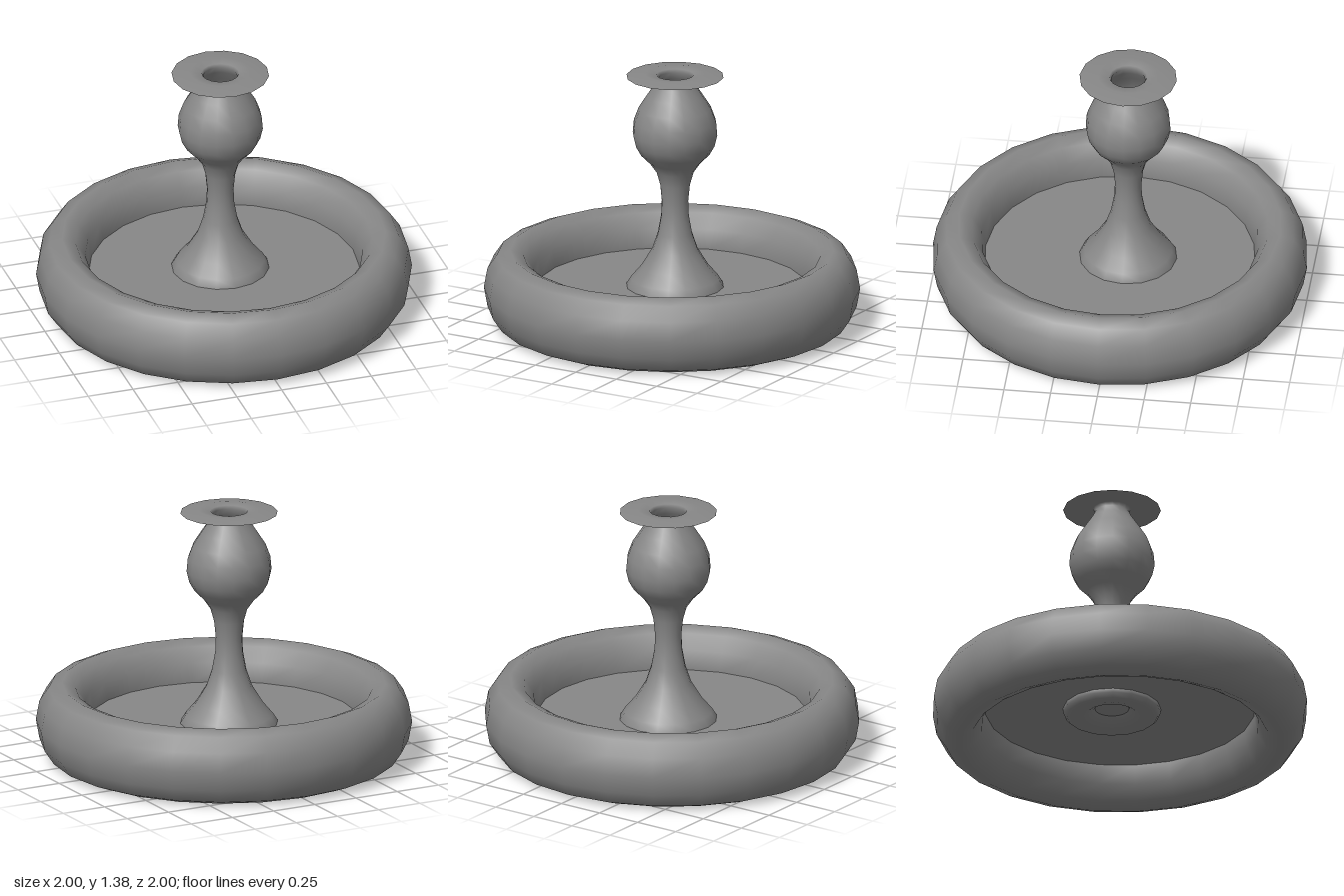
import * as THREE from 'three';

const material = new THREE.MeshStandardMaterial({ color: 0x878787, side: THREE.DoubleSide });

function addPart(group, name, geometry, x = 0, y = 0, z = 0) {
  const mesh = new THREE.Mesh(geometry, material);
  mesh.name = name;
  mesh.position.set(x, y, z);
  group.add(mesh);
}

export function createModel() {
  const group = new THREE.Group();
  group.name = 'fountain';
  const midY = 0.207;

  // Rounded basin rim: a torus stretched upright
  const rim = new THREE.TorusGeometry(0.86, 0.14, 12, 24);
  rim.rotateX(Math.PI / 2);
  rim.scale(1, midY / 0.14, 1);
  addPart(group, 'basinRim', rim, 0, midY, 0);

  // Thin basin floor across the inside of the rim
  const floor = new THREE.CircleGeometry(0.725, 24);
  floor.rotateX(-Math.PI / 2);
  addPart(group, 'basinFloor', floor, 0, midY, 0);

  // Hollow stem: foot curling under the floor, flared base, slim neck, bulb, open mouth and flat lip
  const profile = [
    [0.085, 0.215], [0.1, 0.195], [0.14, 0.168], [0.195, 0.155], [0.24, 0.162], [0.26, 0.185],
    [0.26, 0.21], [0.235, 0.25], [0.18, 0.315], [0.122, 0.41], [0.092, 0.5],
    [0.074, 0.6], [0.071, 0.68], [0.08, 0.77], [0.1, 0.84], [0.135, 0.89],
    [0.185, 0.94], [0.213, 0.99], [0.227, 1.05], [0.221, 1.12], [0.195, 1.19],
    [0.15, 1.26], [0.11, 1.32], [0.09, 1.36], [0.1, 1.378], [0.16, 1.384],
    [0.26, 1.37],
  ].map(([r, y]) => new THREE.Vector2(r, y));
  addPart(group, 'stem', new THREE.LatheGeometry(profile, 16), -0.007, 0, -0.043);

  return group;
}
